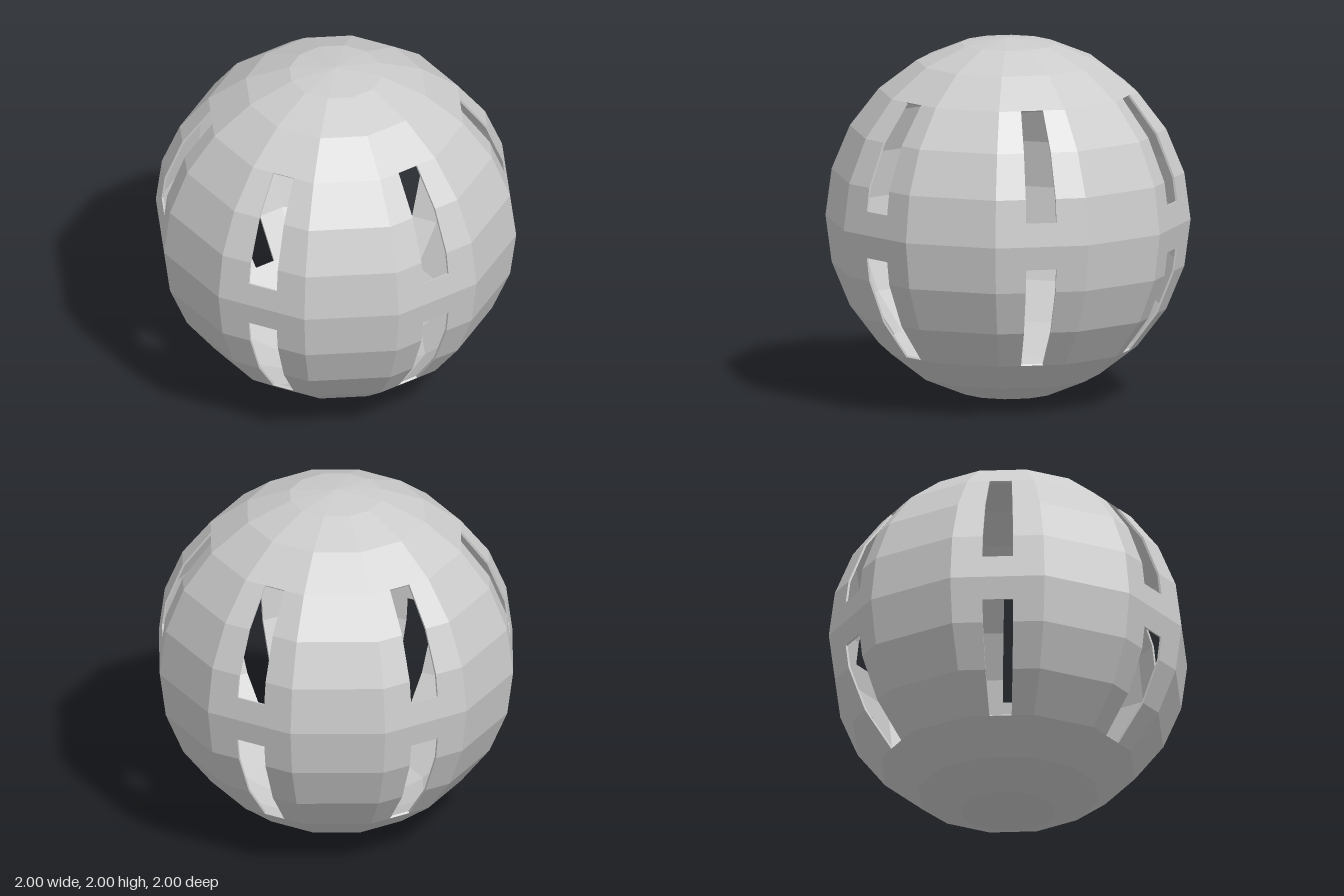
import * as THREE from 'three';

const SECTORS = 12;
const INNER = 0.988; // inner skin scale, giving a thin wall

// Profile points [radius, height]: 15 degree rings, plus a ring halfway along each band beside the equator
function makeProfile() {
  const pts = [];
  for (let d = -90; d <= 90; d += 15) {
    const a = THREE.MathUtils.degToRad(d);
    pts.push(new THREE.Vector2(Math.abs(d) === 90 ? 0 : Math.cos(a), Math.sin(a)));
  }
  const low = pts[5].clone().lerp(pts[6], 0.5);
  const high = pts[6].clone().lerp(pts[7], 0.5);
  return [...pts.slice(0, 6), low, pts[6], high, ...pts.slice(7)];
}

// Rows open in a slotted sector: from the 45 degree ring to the half ring
const SLOT_ROWS = [[3, 6], [8, 11]];

function makeMesh(name, quads) {
  const pos = [];
  for (const [a, b, c, d] of quads) {
    for (const [p, q, r] of [[a, b, c], [a, c, d]]) {
      if (p.distanceTo(q) < 1e-5 || q.distanceTo(r) < 1e-5 || r.distanceTo(p) < 1e-5) continue;
      for (const v of [p, q, r]) pos.push(v.x, v.y, v.z);
    }
  }
  const geometry = new THREE.BufferGeometry();
  geometry.setAttribute('position', new THREE.Float32BufferAttribute(pos, 3));
  geometry.computeVertexNormals();
  const mesh = new THREE.Mesh(geometry, new THREE.MeshStandardMaterial({ color: 0xcccccc, flatShading: true }));
  mesh.name = name;
  mesh.position.y = 1;
  return mesh;
}

export function createModel() {
  const profile = makeProfile();
  const outer = [], inner = [], rims = [];

  for (let s = 0; s < SECTORS; s++) {
    const a0 = (s / SECTORS) * Math.PI * 2, a1 = ((s + 1) / SECTORS) * Math.PI * 2;
    const slotted = s % 2 === 0;

    // Point on the flat facet: column 0..3 across the sector, row along the profile
    const point = (col, row, scale = 1) => {
      const { x: r, y } = profile[row];
      const left = new THREE.Vector3(r * Math.sin(a0), y, r * Math.cos(a0));
      const right = new THREE.Vector3(r * Math.sin(a1), y, r * Math.cos(a1));
      return left.lerp(right, col / 3).multiplyScalar(scale);
    };

    // Outer and inner skins, leaving the middle third open at the slots
    for (let row = 0; row < profile.length - 1; row++) {
      const open = slotted && SLOT_ROWS.some(([lo, hi]) => row >= lo && row < hi);
      const spans = open ? [[0, 1], [2, 3]] : [[0, 1], [1, 2], [2, 3]];
      for (const [c0, c1] of spans) {
        const corners = [[c0, row], [c1, row], [c1, row + 1], [c0, row + 1]];
        outer.push(corners.map(([c, r]) => point(c, r)));
        inner.push(corners.map(([c, r]) => point(c, r, INNER)).reverse());
      }
    }

    // Walls through the shell around each slot
    if (!slotted) continue;
    for (const [lo, hi] of SLOT_ROWS) {
      const loop = [];
      for (let r = lo; r <= hi; r++) loop.push([2, r]);
      for (let r = hi; r >= lo; r--) loop.push([1, r]);
      loop.forEach(([c, r], i) => {
        const [c2, r2] = loop[(i + 1) % loop.length];
        rims.push([point(c, r), point(c2, r2), point(c2, r2, INNER), point(c, r, INNER)]);
      });
    }
  }

  const group = new THREE.Group();
  group.name = 'slottedSphere';
  group.add(makeMesh('outerShell', outer), makeMesh('innerShell', inner), makeMesh('slotRims', rims));
  return group;
}
